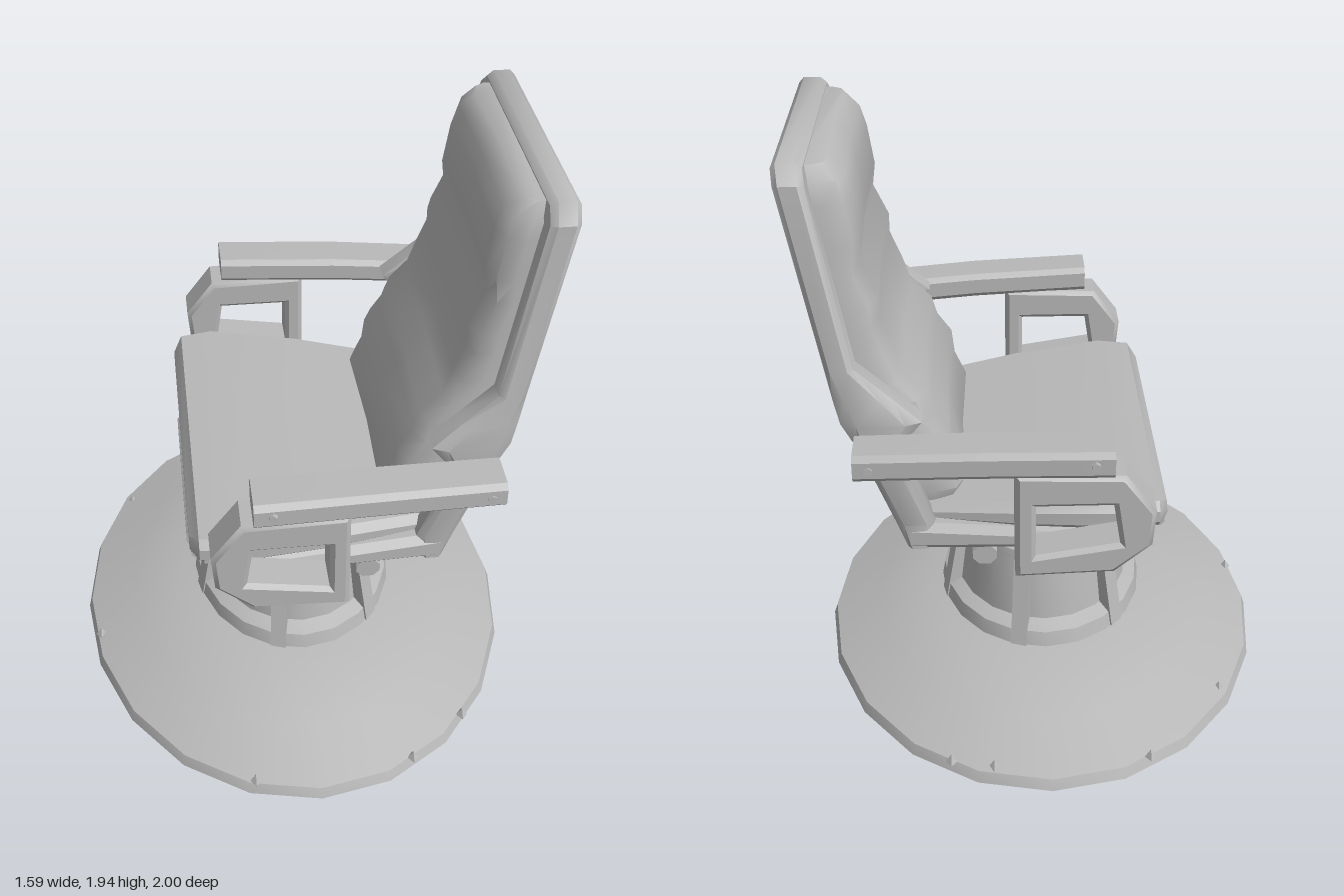
import * as THREE from 'three';
import { toCreasedNormals } from 'three/addons/utils/BufferGeometryUtils.js';

const grey = new THREE.MeshStandardMaterial({ color: 0xb8b8b8 });
grey.name = 'grey';

function add(parent, name, geometry, crease = 0.7) {
  const mesh = new THREE.Mesh(toCreasedNormals(geometry, crease), grey);
  mesh.name = name;
  parent.add(mesh);
  return mesh;
}

// Chamfered rectangle, centred at (a, b), as pairs
function chamfered(a, b, w, h, c) {
  const x = w / 2, y = h / 2;
  return [[x, y - c], [x - c, y], [c - x, y], [-x, y - c], [-x, c - y], [c - x, -y], [x - c, -y], [x, c - y]]
    .map(([u, v]) => [a + u, b + v]);
}

// Closed skin through rings of equal point count; the signed volume decides the facing
function loft(rings) {
  const n = rings[0].length, tris = [];
  for (let i = 0; i < rings.length - 1; i++)
    for (let j = 0; j < n; j++) {
      const k = (j + 1) % n, a = rings[i][j], b = rings[i][k], c = rings[i + 1][k], d = rings[i + 1][j];
      tris.push([a, b, c], [a, c, d]);
    }
  const first = rings[0], last = rings[rings.length - 1];
  for (let j = 1; j < n - 1; j++) {
    tris.push([first[0], first[j + 1], first[j]], [last[0], last[j], last[j + 1]]);
  }
  const volume = tris.reduce((s, [a, b, c]) => s + a.dot(b.clone().cross(c)), 0);
  const points = tris.flatMap(([a, b, c]) => (volume < 0 ? [a, c, b] : [a, b, c]));
  return new THREE.BufferGeometry().setFromPoints(points);
}

// Beam running along x: sections are [x, y, z, height, width]
const beam = (sections, c) => loft(sections.map(([x, y, z, h, w]) =>
  chamfered(z, y, w, h, c).map(([pz, py]) => new THREE.Vector3(x, py, pz))));

// Bar running along z with a chamfered section
const crossbar = (w, h, d, x, y, c) => loft([-d / 2, d / 2].map(z =>
  chamfered(x, y, w, h, c).map(([px, py]) => new THREE.Vector3(px, py, z))));

// Linear lookup in [key, value] pairs
function lookup(table, t) {
  for (let i = 1; i < table.length; i++) {
    const [t0, v0] = table[i - 1], [t1, v1] = table[i];
    if (t <= t1) return THREE.MathUtils.lerp(v0, v1, Math.max(0, (t - t0) / (t1 - t0)));
  }
  return table[table.length - 1][1];
}

function buildBase() {
  const base = new THREE.Group();
  base.name = 'base';
  base.position.x = -0.025;
  base.scale.x = 0.775;
  const lathe = (name, pts) =>
    add(base, name, new THREE.LatheGeometry(pts.map(p => new THREE.Vector2(...p)), 20), 0.5);
  lathe('foot', [[0, 0], [0.985, 0], [1, 0.01], [0.985, 0.045], [0.76, 0.115], [0.53, 0.18], [0, 0.18]]);
  lathe('pedestalCore', [[0.47, 0.17], [0.455, 0.23], [0.4, 0.25], [0.36, 0.5], [0, 0.5]]);
  lathe('swivelPlate', [[0, 0.48], [0.39, 0.48], [0.385, 0.51], [0.35, 0.515], [0.36, 0.53], [0.36, 0.56], [0, 0.56]]);
  // Radial ribs
  for (let i = 0; i < 6; i++) {
    const rib = add(base, 'pedestalRib', loft([[0.18, 0.47], [0.5, 0.395]].map(([y, r]) =>
      [[0.25, -0.035], [r, -0.035], [r, 0.035], [0.25, 0.035]].map(([x, z]) => new THREE.Vector3(x, y, z)))));
    rib.rotation.y = -THREE.MathUtils.degToRad(-15 + i * 60);
  }
  // Screws near the rim
  for (const [x, z] of [[-0.94, 0.19], [-0.77, -0.55], [-0.42, -0.89], [0.24, -0.92], [0.42, -0.89],
    [0.68, 0.72], [0.42, 0.89], [-0.28, 0.93]]) {
    const screw = add(base, 'rimScrew', new THREE.ConeGeometry(0.025, 0.03, 4), 0.1);
    screw.position.set(x, 0.062, z);
  }
  return base;
}

// Upright hoop around the back, bent forward below the arms
function backFrameGeometry() {
  const front = [[0.65, 0.36], [0.74, 0.34], [1.02, 0.45], [1.12, 0.37], [1.2, 0.46], [1.3, 0.575], [1.94, 0.7]];
  const back = [[0.65, 0.43], [1.02, 0.57], [1.13, 0.63], [1.94, 0.795]];
  // Outer y, z and inner y, z
  const half = [[0.65, 0.55, 0.65, 0.455], [0.74, 0.55, 0.74, 0.455], [1.02, 0.57, 1.02, 0.46],
    [1.12, 0.57, 1.12, 0.455], [1.2, 0.56, 1.2, 0.45], [1.3, 0.55, 1.3, 0.445],
    [1.89, 0.51, 1.86, 0.42], [1.94, 0.45, 1.86, 0.41]];
  const all = [...half, ...half.map(([a, b, c, d]) => [a, -b, c, -d]).reverse()];
  return loft(all.map(([oy, oz, iy, iz]) =>
    chamfered(0.5, 0.5, 1, 1, 0.2).map(([u, v]) => {
      const y = THREE.MathUtils.lerp(iy, oy, u);
      const x = THREE.MathUtils.lerp(lookup(front, y), lookup(back, y), v);
      return new THREE.Vector3(x, y, THREE.MathUtils.lerp(iz, oz, u));
    })));
}

// Padded back with soft folds in front
function backCushionGeometry() {
  const front = [[0.76, 0.27], [0.82, 0.24], [0.91, 0.28], [1.0, 0.29], [1.07, 0.34], [1.14, 0.36], [1.21, 0.43],
    [1.3, 0.46], [1.4, 0.5], [1.47, 0.5], [1.58, 0.55], [1.66, 0.54], [1.8, 0.56], [1.87, 0.58], [1.92, 0.63]];
  return loft(front.map(([y, f]) => {
    const b = lookup([[0.76, 0.42], [1.02, 0.52], [1.3, 0.62], [1.86, 0.74], [1.92, 0.72]], y);
    const w = lookup([[0.76, 0.455], [0.82, 0.475], [1.2, 0.465], [1.86, 0.43], [1.92, 0.4]], y);
    const d = b - f;
    return [[b, -w], [f + d * 0.5, -w], [f + d * 0.15, -w * 0.95], [f, -w * 0.8], [f + 0.01, 0],
      [f, w * 0.8], [f + d * 0.15, w * 0.95], [f + d * 0.5, w], [b, w]]
      .map(([x, z]) => new THREE.Vector3(x, y, z));
  }));
}

function polygon(points, Type) {
  return new Type(points.map(p => new THREE.Vector2(...p)));
}

// Arm pad, loop support, seat rail and screws for one side
function buildSide(s) {
  const side = new THREE.Group();
  side.name = s > 0 ? 'leftArm' : 'rightArm';
  add(side, 'armPad', beam([[-0.22, 1.085, s * 0.705, 0.09, 0.165], [0.2, 1.075, s * 0.68, 0.09, 0.165],
    [0.58, 1.055, s * 0.65, 0.09, 0.16]], 0.018));
  const shape = polygon([[-0.34, 0.9], [-0.25, 1.02], [0.07, 1.03], [0.07, 0.69], [-0.22, 0.7], [-0.33, 0.79]], THREE.Shape);
  shape.holes.push(polygon([[-0.26, 0.78], [0.035, 0.735], [0.035, 0.945], [-0.235, 0.945]], THREE.Path));
  const loop = add(side, 'armLoop', new THREE.ExtrudeGeometry(shape,
    { depth: 0.12, bevelSize: 0.015, bevelThickness: 0.015, bevelSegments: 1 }));
  loop.position.z = s * 0.69 - 0.06;
  add(side, 'seatRail', beam([[-0.37, 0.745, s * 0.55, 0.06, 0.08], [0.08, 0.695, s * 0.53, 0.08, 0.1],
    [0.42, 0.69, s * 0.505, 0.1, 0.09]], 0.025));
  add(side, 'armBracket', new THREE.BoxGeometry(0.14, 0.04, 0.1)).position.set(-0.02, 0.705, s * 0.59);
  for (const [x, y, z] of [[-0.16, 1.09, 0.788], [0.53, 1.055, 0.73]]) {
    const screw = add(side, 'armScrew', new THREE.CylinderGeometry(0.015, 0.015, 0.02, 6));
    screw.rotation.x = Math.PI / 2;
    screw.position.set(x, y, s * z);
  }
  return side;
}

export function createModel() {
  const chair = new THREE.Group();
  chair.name = 'swivelArmchair';
  chair.add(buildBase());

  // Seat and its undercarriage
  add(chair, 'seatCushion', beam([[-0.415, 0.775, 0, 0.055, 1.1], [-0.385, 0.79, 0, 0.09, 1.21],
    [-0.27, 0.79, 0, 0.1, 1.24], [0.05, 0.77, 0, 0.09, 1.14], [0.38, 0.745, 0, 0.07, 0.98]], 0.026));
  add(chair, 'frontCrossbar', crossbar(0.22, 0.06, 0.66, -0.31, 0.615, 0.015));
  add(chair, 'rearCrossbar', crossbar(0.08, 0.07, 1.08, 0.18, 0.615, 0.022));
  add(chair, 'frontRail', crossbar(0.14, 0.05, 1.06, -0.34, 0.735, 0.015));
  add(chair, 'rearSeatRail', crossbar(0.1, 0.09, 0.94, 0.38, 0.72, 0.03));
  add(chair, 'swivelMount', beam([[-0.24, 0.645, 0, 0.05, 0.46], [0.22, 0.62, 0, 0.07, 0.46]], 0.015));
  add(chair, 'mountPost', new THREE.CylinderGeometry(0.08, 0.1, 0.16, 12)).position.set(-0.02, 0.63, 0);

  // Back
  add(chair, 'backFrame', backFrameGeometry());
  add(chair, 'backCushion', backCushionGeometry(), 0.9);

  for (const s of [1, -1]) chair.add(buildSide(s));
  return chair;
}
